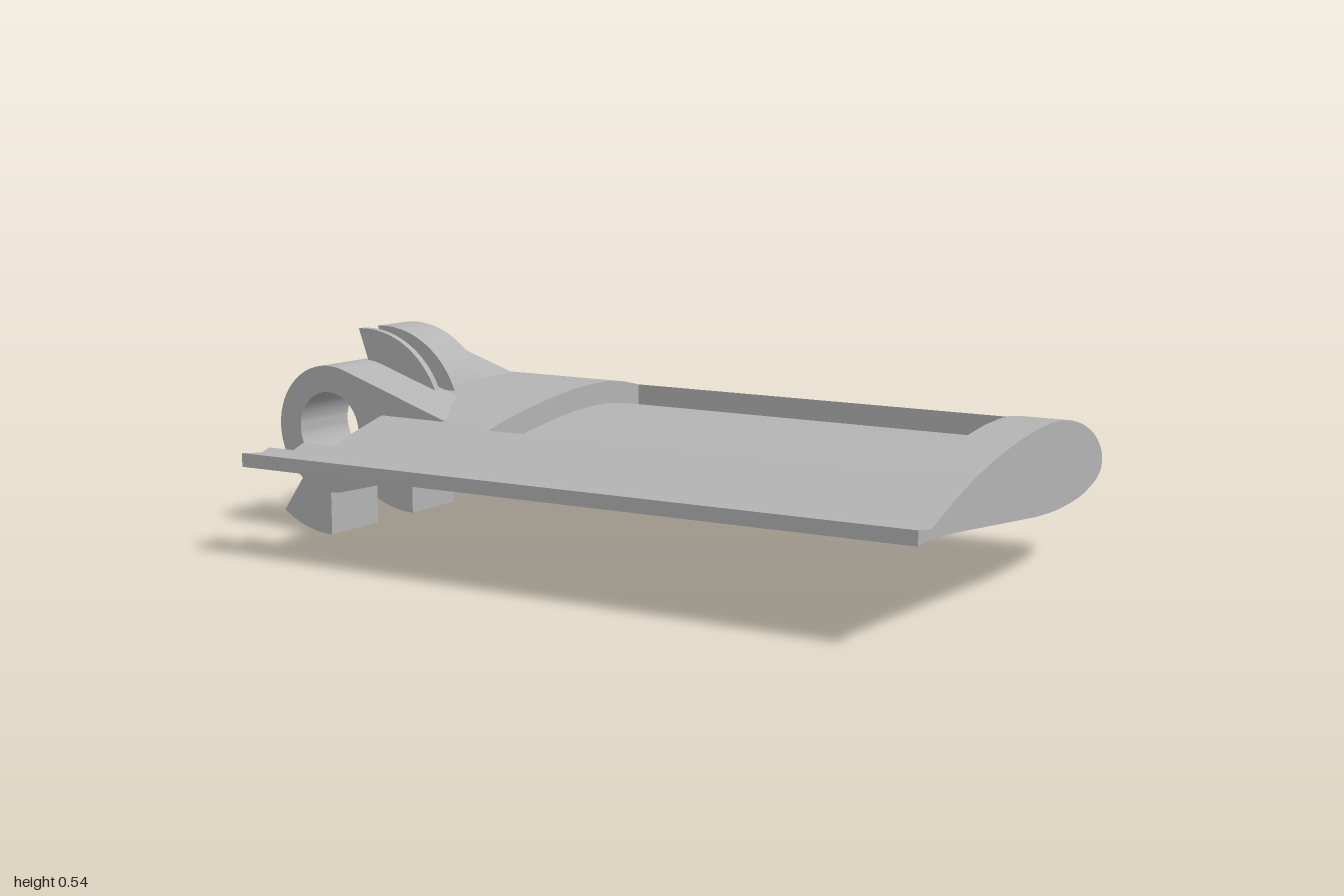
import * as THREE from 'three';
import { toCreasedNormals } from 'three/addons/utils/BufferGeometryUtils.js';

const RAD = Math.PI / 180;
const HINGE = { x: -0.83, y: 0.29 };

// Airfoil at the root: z, upper y, lower y
const FOIL = [
  [-0.6, 0.256, 0.246], [-0.596, 0.272, 0.232], [-0.583, 0.29, 0.22], [-0.56, 0.31, 0.208],
  [-0.53, 0.33, 0.199], [-0.5, 0.344, 0.192], [-0.47, 0.356, 0.186], [-0.425, 0.371, 0.18],
  [-0.35, 0.388, 0.176], [-0.27, 0.398, 0.175], [-0.2, 0.4, 0.177], [-0.1, 0.397, 0.184],
  [0, 0.387, 0.194], [0.1, 0.374, 0.204], [0.2, 0.357, 0.214], [0.27, 0.342, 0.221],
  [0.295, 0.336, 0.224], [0.38, 0.314, 0.232], [0.46, 0.289, 0.239], [0.5, 0.275, 0.242],
  [0.53, 0.266, 0.244], [0.6, 0.275, 0.24],
];
const SPANS = [-0.83, -0.75, -0.67, -0.65, -0.29, 0.87, 1];
const POCKET_DEPTH = 0.06;

// Inner end of the panel for a given chord position: stepped tabs at both edges
function rootEnd(z) {
  if (z < -0.47) return -0.83;
  if (z < -0.27) return -0.67;
  if (z < 0.46) return -0.65;
  return z < 0.5 ? -0.75 : -0.83;
}

function panelGeometry() {
  const pos = [];
  const point = (i, j, level) => {
    const x = SPANS[i];
    const [z, up, low] = FOIL[j];
    const s = 1 - 0.055 * (x + 0.83) / 1.83;      // taper towards the tip
    let y = level === 'low' ? low : up;
    if (i === 0 && z < 0 && level !== 'low') y = Math.min(y, 0.29); // sloped tab end
    y = 0.26 + (y - 0.26) * (0.5 + s / 2);
    if (level === 'floor') y -= POCKET_DEPTH;
    return [x, y, z * s];
  };
  const quad = (a, b, c, d) => pos.push(...a, ...b, ...c, ...a, ...c, ...d);
  const mid = (j) => (FOIL[j][0] + FOIL[j + 1][0]) / 2;
  const solid = (i, j) => i >= 0 && j >= 0 && i < SPANS.length - 1 && j < FOIL.length - 1
    && SPANS[i] >= rootEnd(mid(j)) - 0.001;
  const pocket = (i, j) => i === 4 && mid(j) > -0.425 && mid(j) < 0.295;
  const corners = [[0, 0], [0, 1], [1, 1], [1, 0]];
  const sides = [[-1, 0], [0, 1], [1, 0], [0, -1]];

  for (let i = 0; i < SPANS.length - 1; i++) {
    for (let j = 0; j < FOIL.length - 1; j++) {
      if (!solid(i, j)) continue;
      const at = (k, level) => point(i + corners[k % 4][0], j + corners[k % 4][1], level);
      const top = pocket(i, j) ? 'floor' : 'up';
      quad(at(0, top), at(1, top), at(2, top), at(3, top));
      quad(at(3, 'low'), at(2, 'low'), at(1, 'low'), at(0, 'low'));
      // Outer walls, and pocket walls where the neighbour is sunk
      sides.forEach(([di, dj], k) => {
        const open = !solid(i + di, j + dj);
        const step = !open && pocket(i + di, j + dj) && !pocket(i, j);
        if (!open && !step) return;
        const base = open ? 'low' : 'floor';
        quad(at(k, base), at(k + 1, base), at(k + 1, top), at(k, top));
      });
    }
  }
  const geo = new THREE.BufferGeometry();
  geo.setAttribute('position', new THREE.Float32BufferAttribute(pos, 3));
  return toCreasedNormals(geo, 0.55);
}

// Extrudes a shape drawn around the hinge axis between two z values
function hingePart(name, shape, z0, z1, material) {
  const geo = new THREE.ExtrudeGeometry(shape, { depth: z1 - z0, bevelEnabled: false, curveSegments: 32 });
  const mesh = new THREE.Mesh(toCreasedNormals(geo, 0.5), material);
  mesh.name = name;
  mesh.position.set(HINGE.x, HINGE.y, z0);
  return mesh;
}

// Ring with a fairing into the panel and a stop foot below
function lugShape() {
  const s = new THREE.Shape();
  s.moveTo(0.38, -0.08);
  s.lineTo(0.38, 0.055);
  s.absarc(0, 0, 0.17, 73 * RAD, 235 * RAD, false);
  s.absarc(0, 0, 0.285, 235 * RAD, 270 * RAD, false);
  s.absarc(0, 0, 0.17, 270 * RAD, 284 * RAD, false);
  s.closePath();
  const hole = new THREE.Path();
  hole.absarc(0, 0, 0.1, 0, Math.PI * 2, true);
  s.holes.push(hole);
  return s;
}

// Curved stop rising from the panel root
function camShape(radius, endAngle) {
  const s = new THREE.Shape();
  s.absarc(0, 0, radius, 5 * RAD, endAngle * RAD, false);
  s.absarc(0, 0, 0.168, 87 * RAD, 5 * RAD, true);
  s.closePath();
  return s;
}

export function createModel() {
  const group = new THREE.Group();
  group.name = 'hingedWingPanel';
  const grey = new THREE.MeshStandardMaterial({ color: 0xb4b4b4 });
  grey.name = 'plain grey';

  const panel = new THREE.Mesh(panelGeometry(), grey);
  panel.name = 'wingPanel';
  group.add(panel);

  group.add(hingePart('frontHingeLug', lugShape(), 0.075, 0.267, grey));
  group.add(hingePart('rearHingeLug', lugShape(), -0.267, -0.078, grey));

  group.add(hingePart('wideCam', camShape(0.255, 95), -0.105, 0.03, grey));
  group.add(hingePart('camGroove', camShape(0.195, 90), 0.03, 0.09, grey));
  group.add(hingePart('thinCam', camShape(0.255, 95), 0.09, 0.11, grey));
  return group;
}
